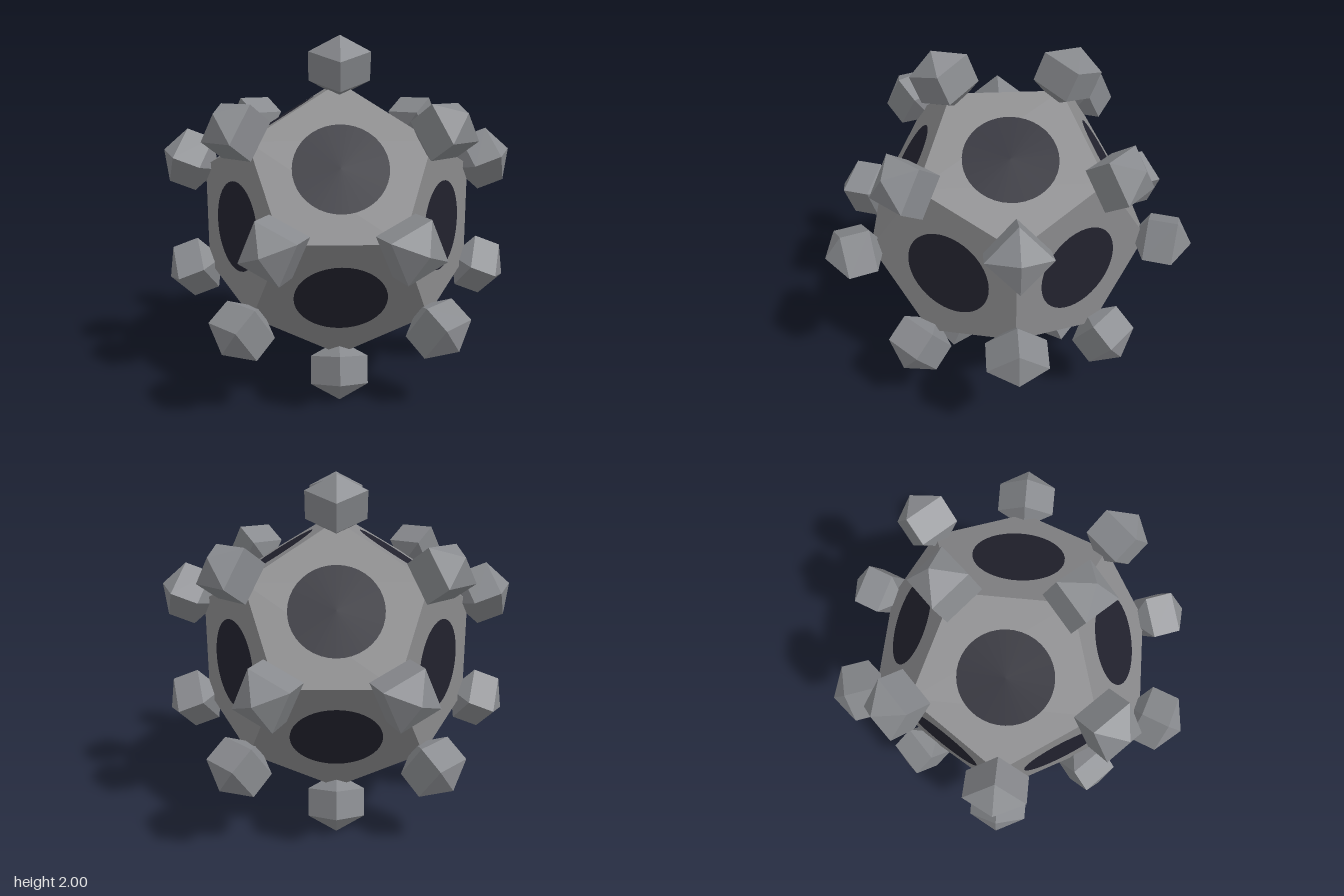
import * as THREE from 'three';

const PHI = (1 + Math.sqrt(5)) / 2;
const BODY_RADIUS = 0.817;
const FACE_DISTANCE = BODY_RADIUS * 0.7947; // centre to face
const KNOB_DISTANCE = 0.905;

// All sign variants of (0, a, b) and its cyclic permutations
function cyclicDirections(a, b) {
  const out = [];
  for (const s of [1, -1]) for (const t of [1, -1]) {
    out.push([0, s * a, t * b], [t * b, 0, s * a], [s * a, t * b, 0]);
  }
  return out.map(p => new THREE.Vector3(...p).normalize());
}

export function createModel() {
  const material = (name, color, flat) =>
    Object.assign(new THREE.MeshStandardMaterial({ color, flatShading: flat }), { name });
  const shellGrey = material('shell grey', 0x8a8a8c, true);
  const knobGrey = material('knob grey', 0x888a8e, true);
  const holeDark = material('hole dark', 0x22222e, false);

  const model = new THREE.Group();
  model.name = 'knobbedDodecahedron';
  const centre = new THREE.Group();
  centre.name = 'centre';
  centre.position.y = 1;
  model.add(centre);

  // Twelve-sided shell
  const shell = new THREE.Mesh(new THREE.DodecahedronGeometry(BODY_RADIUS).rotateY(Math.PI / 2), shellGrey);
  shell.name = 'shell';
  centre.add(shell);

  // Round dark opening on each face
  const holeGeometry = new THREE.CircleGeometry(0.246, 40);
  const forward = new THREE.Vector3(0, 0, 1);
  cyclicDirections(1, PHI).forEach((dir, i) => {
    const hole = new THREE.Mesh(holeGeometry, holeDark);
    hole.name = `hole${i + 1}`;
    hole.position.copy(dir).multiplyScalar(FACE_DISTANCE + 0.004);
    hole.quaternion.setFromUnitVectors(forward, dir);
    centre.add(hole);
  });

  // Four-sided faceted knob on each corner
  const profile = [[0, -0.165], [0.162, -0.078], [0.162, 0.078], [0, 0.165]];
  const knobGeometry = new THREE.LatheGeometry(profile.map(p => new THREE.Vector2(...p)), 4);
  const up = new THREE.Vector3(0, 1, 0);
  const corners = cyclicDirections(PHI, 1 / PHI);
  for (const x of [1, -1]) for (const y of [1, -1]) for (const z of [1, -1]) {
    corners.push(new THREE.Vector3(x, y, z).normalize());
  }
  corners.forEach((dir, i) => {
    const knob = new THREE.Mesh(knobGeometry, knobGrey);
    knob.name = `knob${i + 1}`;
    knob.position.copy(dir).multiplyScalar(KNOB_DISTANCE);
    knob.quaternion.setFromUnitVectors(up, dir);
    centre.add(knob);
  });

  return model;
}
